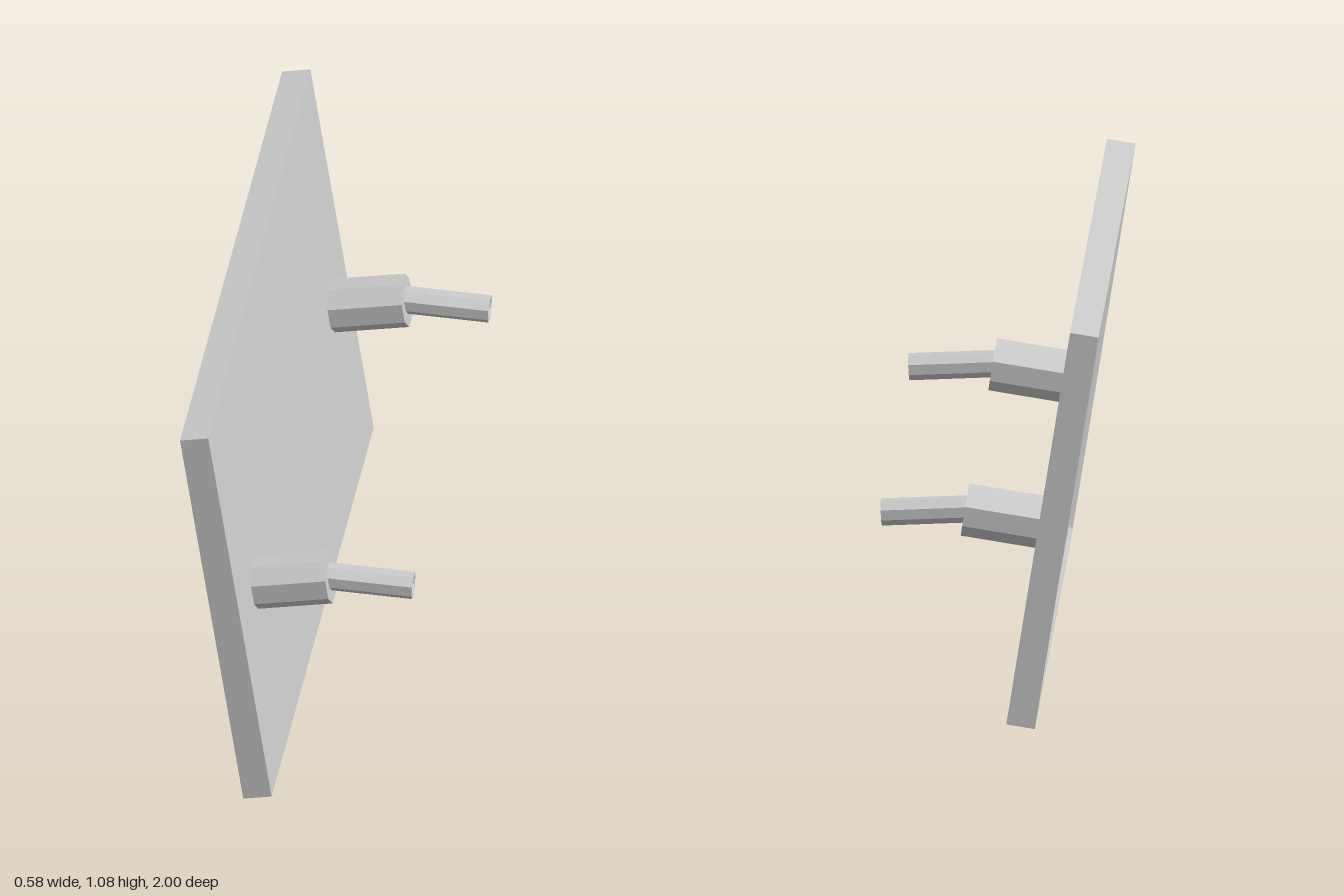
import * as THREE from 'three';

const TILT = 0.1562;

// Closed solid from rectangular rings [x, halfHeight, halfWidth], listed front to back
function ringSolid(rings) {
  const pos = [], idx = [];
  for (const [x, h, w] of rings) pos.push(x, h, w, x, -h, w, x, -h, -w, x, h, -w);
  idx.push(0, 1, 2, 0, 2, 3);
  for (let r = 0; r < rings.length - 1; r++) {
    for (let i = 0; i < 4; i++) {
      const a0 = r * 4 + i, a1 = r * 4 + (i + 1) % 4, b0 = a0 + 4, b1 = a1 + 4;
      idx.push(a0, b0, b1, a0, b1, a1);
    }
  }
  const e = (rings.length - 1) * 4;
  idx.push(e, e + 2, e + 1, e, e + 3, e + 2);
  const geo = new THREE.BufferGeometry();
  geo.setAttribute('position', new THREE.Float32BufferAttribute(pos, 3));
  geo.setIndex(idx);
  const flat = geo.toNonIndexed();
  flat.computeVertexNormals();
  return flat;
}

export function createModel() {
  const model = new THREE.Group();
  const mat = new THREE.MeshStandardMaterial({ color: 0xcccccc, flatShading: true });

  function add(geo, name, x, y, z, angle) {
    const mesh = new THREE.Mesh(geo, mat);
    mesh.name = name;
    mesh.position.set(x, y, z);
    mesh.rotation.z = angle;
    model.add(mesh);
  }

  // Leaning panel with a thin rim and a shallow bevelled recess on its back
  const panel = ringSolid([
    [0.038, 0.54, 1], [-0.038, 0.54, 1], [-0.038, 0.52, 0.98], [-0.028, 0.505, 0.965],
  ]);
  add(panel, 'panel', -0.1715, 0.5415, 0, TILT);

  // Octagonal sleeve, slightly flattened, lying along x
  const sleeve = new THREE.CylinderGeometry(1, 1, 0.2, 8);
  sleeve.rotateY(Math.PI / 8);
  sleeve.rotateZ(-Math.PI / 2);
  const flatRadius = Math.cos(Math.PI / 8);
  sleeve.scale(1, 0.0637 / flatRadius, 0.073 / flatRadius);

  // Thin rod with a hollowed tip
  const rod = new THREE.LatheGeometry(
    [[0, 0], [1, 0], [1, 0.238], [0.7, 0.238], [0, 0.21]].map(([r, y]) => new THREE.Vector2(r, y)), 8);
  rod.rotateY(Math.PI / 8);
  rod.rotateZ(-Math.PI / 2);
  rod.scale(1, 0.033 / flatRadius, 0.037 / flatRadius);

  for (const [side, z] of [['front', 0.73], ['back', -0.768]]) {
    add(sleeve, side + 'Sleeve', -0.029, 0.52, z, TILT);
    add(rod, side + 'Rod', 0.052, 0.538, z, -0.05);
  }
  return model;
}
